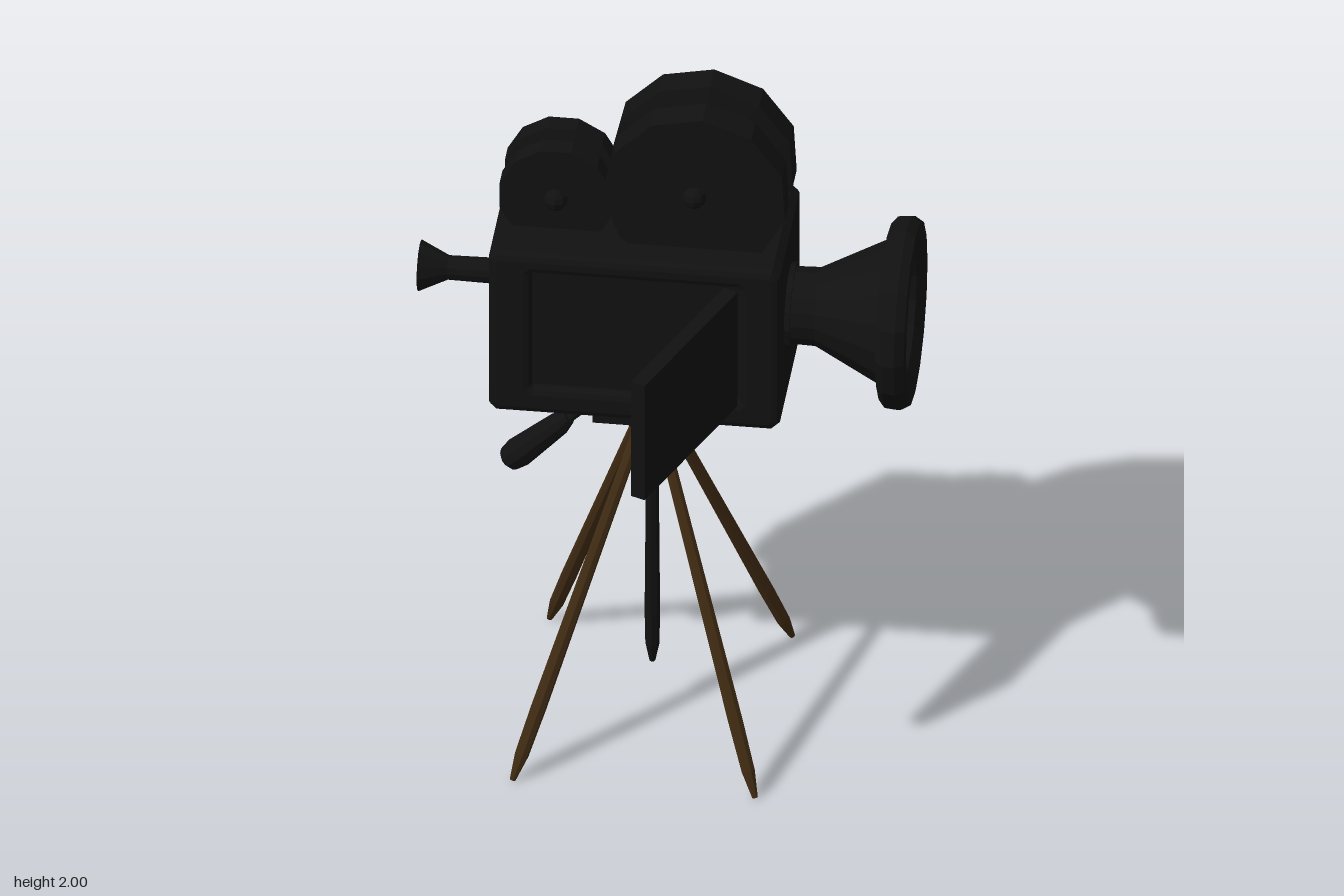
import * as THREE from 'three';
import { RoundedBoxGeometry } from 'three/addons/geometries/RoundedBoxGeometry.js';

const black = new THREE.MeshStandardMaterial({ color: 0x111111, flatShading: true });
const wood = new THREE.MeshStandardMaterial({ color: 0x3f2a12, flatShading: true });
const CX = -0.05, CZ = -0.155; // tripod axis

export function createModel() {
  const model = new THREE.Group();
  model.name = 'movieCamera';

  const add = (name, geometry, x = 0, y = 0, z = 0, material = black) => {
    const mesh = new THREE.Mesh(geometry, material);
    mesh.name = name;
    mesh.position.set(x, y, z);
    model.add(mesh);
    return mesh;
  };
  const lathe = (points, sides) =>
    new THREE.LatheGeometry(points.map(([r, h]) => new THREE.Vector2(r, h)), sides);
  // Turned part from point a to b; profile pairs are [radius, fraction of length]
  const turned = (name, profile, sides, a, b, material) => {
    const start = new THREE.Vector3(...a), dir = new THREE.Vector3(...b).sub(start);
    const length = dir.length();
    const mesh = add(name, lathe(profile.map(([r, t]) => [r, t * length]), sides), ...a, material);
    mesh.quaternion.setFromUnitVectors(new THREE.Vector3(0, 1, 0), dir.normalize());
    return mesh;
  };

  // Body case: chamfered box with a door opening
  const outline = (S, x0, x1, y0, y1, c) => {
    const s = new S();
    s.moveTo(x0 + c, y0);
    [[x1 - c, y0], [x1, y0 + c], [x1, y1 - c], [x1 - c, y1], [x0 + c, y1], [x0, y1 - c], [x0, y0 + c]]
      .forEach(([x, y]) => s.lineTo(x, y));
    s.closePath();
    return s;
  };
  const shape = outline(THREE.Shape, -0.465, 0.32, 1.08, 1.59, 0.02);
  shape.holes.push(outline(THREE.Path, -0.35, 0.21, 1.16, 1.53, 0.005));
  const bevel = 0.02;
  add('bodyCase', new THREE.ExtrudeGeometry(shape, {
    depth: 0.445 - 2 * bevel, bevelThickness: bevel, bevelSize: bevel, bevelOffset: -bevel, bevelSegments: 2,
  }), 0, 0, -0.38 + bevel);

  // Interior block; its far end is the closed door on the back
  add('innerBlockAndBackDoor', new THREE.BoxGeometry(0.56, 0.37, 0.435), -0.07, 1.345, -0.1825);

  // Open front door, swung out on its hinge
  const doorGeometry = new THREE.BoxGeometry(0.51, 0.37, 0.042).translate(0.255, 0, 0);
  add('openDoor', doorGeometry, 0.19, 1.345, 0.065).rotation.y = Math.atan2(-0.475, -0.19);

  // Rear pad and eyepiece
  add('rearPad', new RoundedBoxGeometry(0.04, 0.2, 0.19, 1, 0.015), -0.459, 1.25, -0.205);
  turned('eyepiece', [[0, 0], [0.035, 0], [0.033, 0.62], [0.07, 1], [0.055, 1], [0.025, 0.75], [0, 0.75]],
    12, [-0.46, 1.45, -0.06], [-0.665, 1.45, -0.06]);

  // Lens: mount collar and hollow horn with a thick rim
  add('lensCollar', new THREE.CylinderGeometry(0.12, 0.12, 0.03, 14).rotateZ(Math.PI / 2), 0.32, 1.34, -0.155);
  const horn = [[0.105, 0.3], [0.108, 0.4], [0.2, 0.58], [0.24, 0.582], [0.262, 0.6], [0.265, 0.635],
    [0.25, 0.66], [0.215, 0.662], [0.175, 0.64], [0.165, 0.6], [0.09, 0.42], [0, 0.42]];
  add('lensHorn', lathe(horn, 16).rotateZ(-Math.PI / 2), 0, 1.345, -0.155);

  // Film reels: two flanges with a V-shaped groove between, and a front knob
  const reel = (name, x, y, z, r, half, sides, turn) => {
    const g = half * 0.32;
    const profile = [[0, -half], [r, -half], [r, -g], [r * 0.5, -g * 0.4],
      [r * 0.5, g * 0.4], [r, g], [r, half], [0, half]];
    add(name, lathe(profile, sides).rotateX(Math.PI / 2).rotateZ(turn), x, y, z);
    add(name + 'Knob', new THREE.SphereGeometry(0.032, 8, 6), x, y, z + half);
  };
  reel('largeReel', 0.08, 1.755, -0.155, 0.25, 0.123, 11, 0.2);
  reel('smallReel', -0.3, 1.685, -0.16, 0.157, 0.083, 12, 0.26);

  // Tripod head
  add('mountPlate', new THREE.BoxGeometry(0.29, 0.09, 0.245), CX, 1.045, CZ);
  add('tripodHead', lathe([[0, 0.935], [0.06, 0.937], [0.088, 0.96], [0.098, 1.0], [0.098, 1.02], [0, 1.02]], 14),
    CX, 0, CZ);

  // Four splayed legs and the centre post
  const legProfile = [[0, 0], [0.016, 0], [0.018, 0.35], [0.021, 0.8], [0.019, 0.93], [0.008, 1], [0, 1]];
  for (const sx of [-1, 1]) for (const sz of [-1, 1]) {
    turned('leg', legProfile, 8, [CX + sx * 0.02, 0.97, CZ + sz * 0.035],
      [CX + sx * 0.327, 0.005, CZ + sz * 0.387], wood);
  }
  turned('centrePost', legProfile, 8, [CX, 0.96, CZ], [CX, 0.16, CZ]);

  // Pan handle
  turned('panRod', [[0, 0], [0.013, 0], [0.013, 1], [0, 1]], 8, [-0.12, 1.07, CZ], [-0.3, 0.9, CZ]);
  turned('panGrip', [[0, 0], [0.02, 0], [0.032, 0.15], [0.042, 0.8], [0.035, 0.95], [0.018, 1], [0, 1]],
    10, [-0.275, 0.93, CZ], [-0.445, 0.77, CZ]);

  // Turned profiles run in both directions, so show both faces
  black.side = wood.side = THREE.DoubleSide;
  return model;
}
